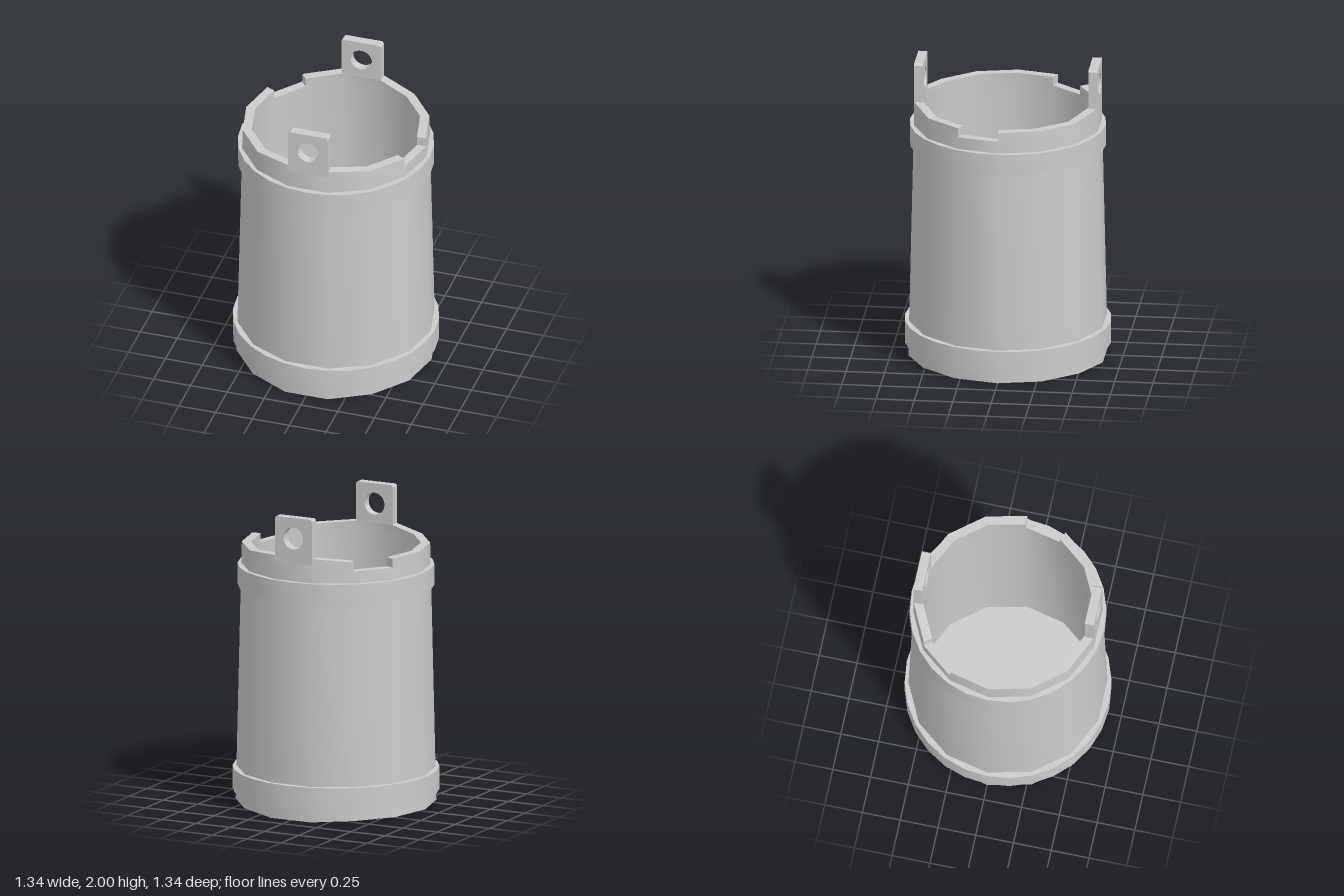
import * as THREE from 'three';
import { toCreasedNormals } from 'three/addons/utils/BufferGeometryUtils.js';

const SIDES = 14;
const NOTCH_Y = 1.66;
const NOTCHES = [0, 8]; // facets cut out of the rim
const material = new THREE.MeshStandardMaterial({ color: 0xcccccc });

// Corners beside the ears reach a little further up and down
const byEar = (k) => [3, 4, 10, 11].includes(k % SIDES);

// Cross-section at corner k: underside, outer wall, rim, inner wall, floor
function profile(k) {
  const top = byEar(k) ? 1.74 : 1.72;
  return [
    [0, 0.045], [0.585, 0.045], [0.65, byEar(k) ? 0 : 0.012],
    [0.612, NOTCH_Y], [0.61, top], [0.55, top], [0.552, NOTCH_Y],
    [0.588, 0.06], [0, 0.06],
  ];
}

function corner(k, [r, y]) {
  const t = (k / SIDES) * Math.PI * 2;
  return [r * Math.cos(t), y, r * Math.sin(t)];
}

function bodyGeometry() {
  const pos = [];
  const quad = (a, b, c, d) => pos.push(...a, ...b, ...c, ...a, ...c, ...d);
  for (let k = 0; k < SIDES; k++) {
    const n = (k + 1) % SIDES;
    let p = profile(k).map((v) => corner(k, v));
    let q = profile(n).map((v) => corner(n, v));
    if (NOTCHES.includes(k)) {
      // End walls of the notch, then drop the raised rim points
      quad(p[3], p[4], p[5], p[6]);
      quad(q[6], q[5], q[4], q[3]);
      p = p.filter((_, i) => i !== 4 && i !== 5);
      q = q.filter((_, i) => i !== 4 && i !== 5);
    }
    for (let i = 0; i < p.length - 1; i++) quad(p[i], p[i + 1], q[i + 1], q[i]);
  }
  const g = new THREE.BufferGeometry();
  g.setAttribute('position', new THREE.Float32BufferAttribute(pos, 3));
  return toCreasedNormals(g, 0.5);
}

// Closed hoop with a rectangular section
function band(name, inner, outer, y0, y1) {
  const pts = [[inner, y0], [outer, y0], [outer, y1], [inner, y1], [inner, y0]]
    .map(([r, y]) => new THREE.Vector2(r, y));
  const mesh = new THREE.Mesh(toCreasedNormals(new THREE.LatheGeometry(pts, 28), 0.5), material);
  mesh.name = name;
  return mesh;
}

// Upright lug with a round hole and clipped top corners
function earGeometry() {
  const s = new THREE.Shape();
  s.moveTo(-0.135, 1.7);
  s.lineTo(0.135, 1.7);
  s.lineTo(0.135, 1.988);
  s.lineTo(0.125, 2);
  s.lineTo(-0.125, 2);
  s.lineTo(-0.135, 1.988);
  s.closePath();
  const hole = new THREE.Path();
  hole.absarc(0, 1.865, 0.073, 0, Math.PI * 2, true);
  s.holes.push(hole);
  const g = new THREE.ExtrudeGeometry(s, { depth: 0.06, bevelEnabled: false, curveSegments: 12 });
  g.translate(0, 0, 0.538);
  return toCreasedNormals(g, 0.6);
}

export function createModel() {
  const group = new THREE.Group();
  group.name = 'bucket';

  const body = new THREE.Mesh(bodyGeometry(), material);
  body.name = 'body';
  group.add(body);

  group.add(band('lowerBand', 0.62, 0.67, 0.085, 0.235));
  group.add(band('upperBand', 0.585, 0.637, 1.44, 1.58));

  const ear = earGeometry();
  for (const [name, turn] of [['frontEar', 0], ['backEar', Math.PI]]) {
    const mesh = new THREE.Mesh(ear, material);
    mesh.name = name;
    mesh.rotation.y = turn;
    group.add(mesh);
  }
  return group;
}
